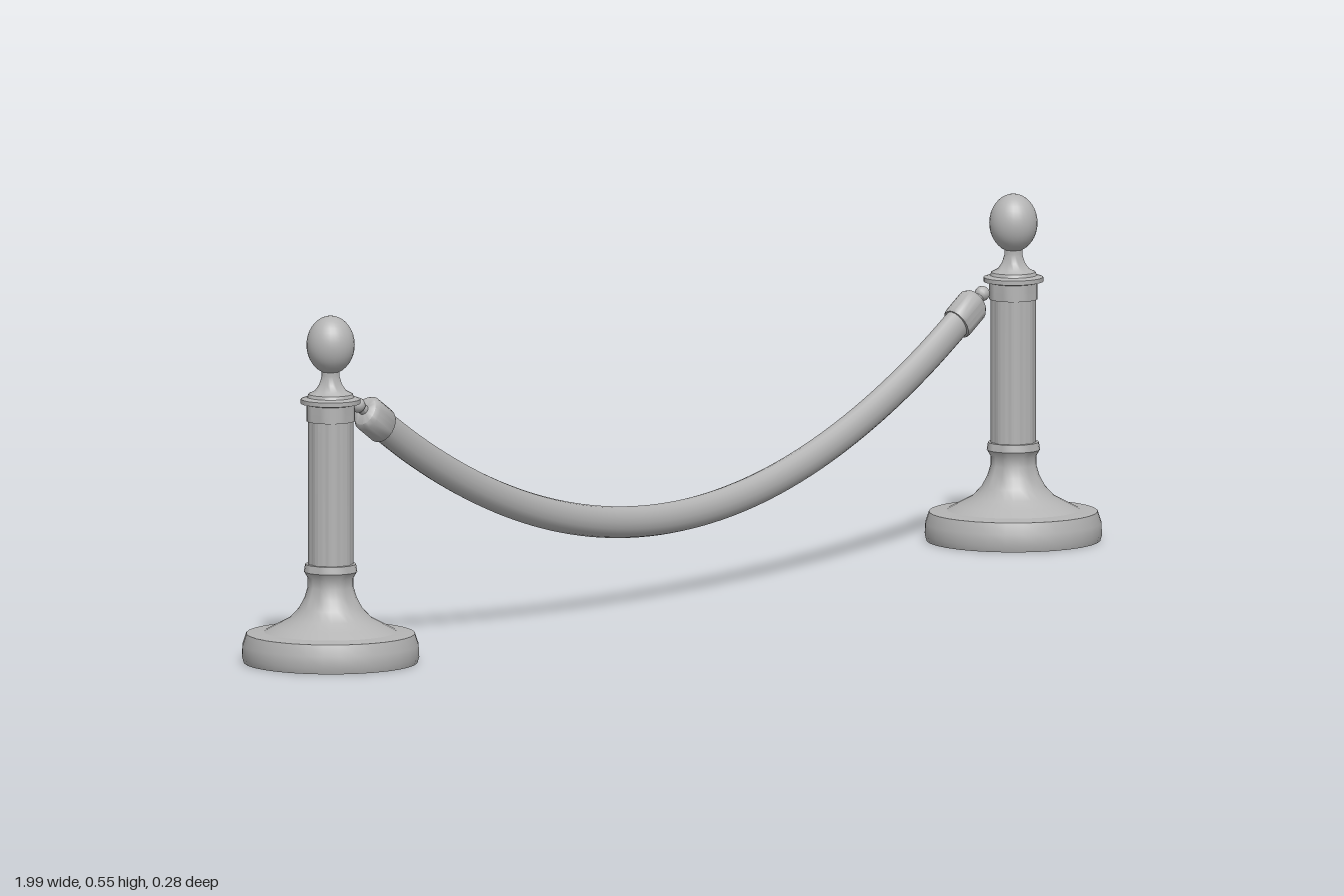
import * as THREE from 'three';
import { toCreasedNormals } from 'three/addons/utils/BufferGeometryUtils.js';

const grey = new THREE.MeshStandardMaterial({ color: 0xb4b4b4 });
grey.name = 'grey';

function add(parent, name, geometry) {
  const mesh = new THREE.Mesh(geometry, grey);
  mesh.name = name;
  parent.add(mesh);
  return mesh;
}

// Turned part from [radius, height] pairs, bottom to top
function turned(profile, sides = 28) {
  const points = profile.map(([r, y]) => new THREE.Vector2(r, y));
  return toCreasedNormals(new THREE.LatheGeometry(points, sides), 0.7);
}

// Column with shallow vertical flutes
function flutedColumn(bottom, top) {
  const shape = new THREE.Shape();
  const steps = 80;
  for (let i = 0; i < steps; i++) {
    const a = (i / steps) * Math.PI * 2;
    const r = 0.0345 + 0.0015 * Math.cos(a * 8);
    if (i === 0) shape.moveTo(r, 0);
    else shape.lineTo(r * Math.cos(a), r * Math.sin(a));
  }
  const g = new THREE.ExtrudeGeometry(shape, { depth: top - bottom, bevelEnabled: false });
  g.rotateX(-Math.PI / 2).translate(0, bottom, 0);
  return toCreasedNormals(g, 0.7);
}

function createPost() {
  const post = new THREE.Group();
  add(post, 'base', turned([
    [0, 0.002], [0.137, 0.002], [0.14, 0.012], [0.139, 0.03], [0.133, 0.048], [0.105, 0.051], [0, 0.051],
  ], 32));
  add(post, 'flaredFoot', turned([
    [0.107, 0.05], [0.088, 0.06], [0.065, 0.072], [0.05, 0.088], [0.041, 0.105], [0.036, 0.122],
    [0.036, 0.136], [0.042, 0.146], [0.04, 0.158], [0, 0.158],
  ]));
  add(post, 'column', flutedColumn(0.155, 0.388));
  add(post, 'collar', turned([
    [0, 0.385], [0.038, 0.385], [0.038, 0.411], [0.047, 0.413], [0.047, 0.42], [0.037, 0.423],
    [0.035, 0.428], [0.025, 0.433], [0.018, 0.443], [0.014, 0.456], [0.014, 0.465],
  ]));
  const finial = add(post, 'finial', new THREE.SphereGeometry(1, 28, 18));
  finial.scale.set(0.038, 0.046, 0.038);
  finial.position.y = 0.506;
  return post;
}

// End fitting of the rope, pointing outward along +x and up
function createRopeEnd() {
  const end = new THREE.Group();
  add(end, 'sleeve', turned([
    [0, -0.03], [0.027, -0.03], [0.029, -0.026], [0.029, 0.018], [0.024, 0.026], [0.012, 0.03], [0, 0.031],
  ], 20)).scale.z = 0.8;
  add(end, 'stem', turned([[0.009, 0.025], [0.007, 0.042], [0, 0.042]], 12));
  add(end, 'knob', new THREE.SphereGeometry(0.012, 14, 10)).position.y = 0.047;
  end.quaternion.setFromUnitVectors(new THREE.Vector3(0, 1, 0), new THREE.Vector3(0.84, 0.54, 0).normalize());
  end.position.set(0.744, 0.376, 0);
  return end;
}

export function createModel() {
  const model = new THREE.Group();
  model.name = 'ropeBarrier';

  // Posts and rope ends, mirrored left and right
  for (const side of [1, -1]) {
    const label = side > 0 ? 'left' : 'right';
    const post = createPost();
    post.name = label + 'Post';
    post.position.x = side * 0.857;
    model.add(post);

    const half = new THREE.Group();
    half.name = label + 'RopeEnd';
    half.add(createRopeEnd());
    half.rotation.y = side > 0 ? 0 : Math.PI;
    half.position.z = -0.004;
    model.add(half);
  }

  // Sagging rope, a little flatter front to back
  const points = [];
  for (let i = 0; i <= 16; i++) {
    const t = i / 8 - 1;
    points.push(new THREE.Vector3(t * 0.735, 0.134 + 0.236 * t * t, 0));
  }
  const rope = add(model, 'rope', new THREE.TubeGeometry(new THREE.CatmullRomCurve3(points), 64, 0.025, 16));
  rope.scale.z = 0.72;
  rope.position.z = -0.004;
  return model;
}
